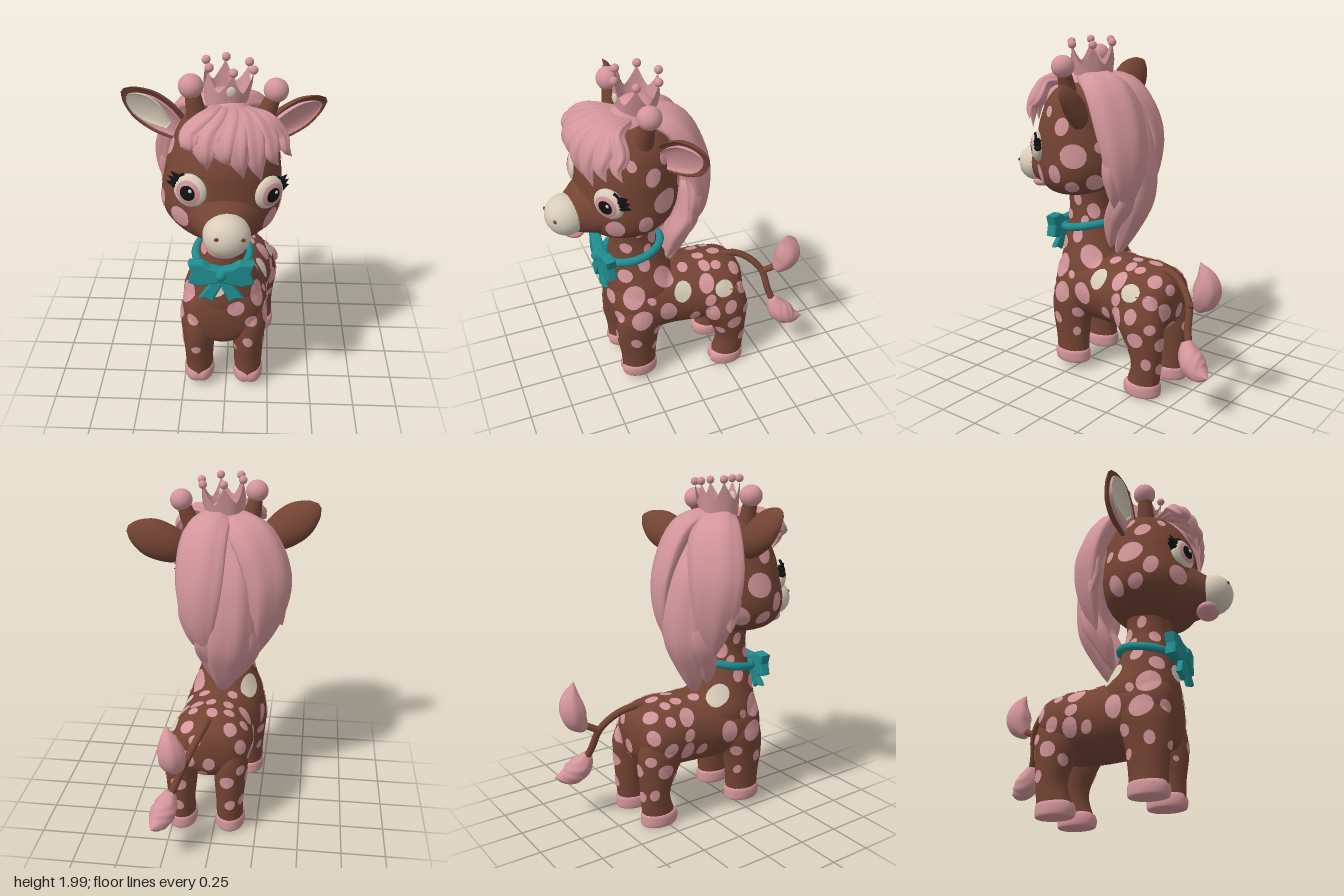
import * as THREE from 'three';

const V = (p) => new THREE.Vector3(...p);
const paint = (name, color, side = THREE.FrontSide) => {
  const m = new THREE.MeshStandardMaterial({ color, side });
  m.name = name;
  return m;
};
const brown = paint('brown coat', 0x744434);
const pink = paint('pink', 0xd2959a, THREE.DoubleSide);
const cream = paint('cream', 0xd8ccb9, THREE.DoubleSide);
const teal = paint('teal ribbon', 0x1f8c8f, THREE.DoubleSide);
const black = paint('black', 0x121212);

function add(parent, name, geo, mat, pos = [0, 0, 0], rot = [0, 0, 0], scale = [1, 1, 1]) {
  const m = new THREE.Mesh(geo, mat);
  m.name = name;
  m.position.set(...pos);
  m.rotation.set(...rot);
  m.scale.set(...scale);
  parent.add(m);
  return m;
}
const ball = (parent, name, mat, pos, scale) =>
  add(parent, name, new THREE.SphereGeometry(1, 24, 16), mat, pos, [0, 0, 0], scale);

// Closed smooth skin over a list of rings
function skin(rings) {
  const n = rings[0].length, last = rings.length - 1, pos = [], idx = [];
  rings.forEach((r) => r.forEach((p) => pos.push(p.x, p.y, p.z)));
  for (const r of [rings[0], rings[last]]) {
    const c = r.reduce((s, p) => s.add(p), new THREE.Vector3()).divideScalar(n);
    pos.push(c.x, c.y, c.z);
  }
  const c0 = n * (last + 1);
  for (let j = 0; j < n; j++) {
    const k = (j + 1) % n;
    for (let i = 0; i < last; i++) {
      const a = i * n + j, b = i * n + k;
      idx.push(a, a + n, b, b, a + n, b + n);
    }
    idx.push(c0, j, k, c0 + 1, last * n + k, last * n + j);
  }
  const g = new THREE.BufferGeometry();
  g.setAttribute('position', new THREE.Float32BufferAttribute(pos, 3));
  g.setIndex(idx);
  g.computeVertexNormals();
  return g;
}

// Sections [x, y, z, halfWidth, halfDepth] stacked along y, or along z
function loft(sections, axis = 'y', n = 24) {
  const path = new THREE.CatmullRomCurve3(sections.map((s) => V(s.slice(0, 3))), false, 'catmullrom');
  const size = new THREE.CatmullRomCurve3(sections.map((s) => V([s[3], s[4], 0])), false, 'catmullrom');
  const steps = (sections.length - 1) * 4, rings = [];
  for (let i = 0; i <= steps; i++) {
    const p = path.getPoint(i / steps), r = size.getPoint(i / steps);
    rings.push(Array.from({ length: n }, (_, j) => {
      const t = (j / n) * Math.PI * 2, c = r.x * Math.cos(t), s = r.y * Math.sin(t);
      return axis === 'y' ? V([p.x + c, p.y, p.z + s]) : V([p.x + c, p.y - s, p.z]);
    }));
  }
  return skin(rings);
}

// Tapered lock of hair along a path, its broad side facing away from a centre; lower taper means fuller ends
function lock(points, width, thick, centre, groove = 0.1, taper = 1) {
  const path = new THREE.CatmullRomCurve3(points.map(V)), rings = [], steps = 22, n = 24;
  for (let i = 0; i <= steps; i++) {
    const t = i / steps, p = path.getPoint(t), T = path.getTangent(t);
    const N = p.clone().sub(V(centre));
    N.addScaledVector(T, -N.dot(T)).normalize();
    const W = T.clone().cross(N), f = Math.max(0.02, Math.sin(Math.PI * (0.13 + 0.87 * t))) ** taper;
    rings.push(Array.from({ length: n }, (_, j) => {
      const a = (j / n) * Math.PI * 2, g = f * (1 + groove * Math.cos(6 * a + 2 * t));
      return p.clone().addScaledVector(W, width * g * Math.cos(a)).addScaledVector(N, thick * g * Math.sin(a));
    }));
  }
  return skin(rings);
}

// Thin round patches laid onto a coat; list holds [u, v, radius] as seen from one side
const sides = {
  left: (u, v) => [[3, v, u], [-1, 0, 0]],
  right: (u, v) => [[-3, v, u], [1, 0, 0]],
  front: (u, v) => [[u, v, 3], [0, 0, -1]],
  back: (u, v) => [[u, v, -3], [0, 0, 1]],
  top: (u, v) => [[u, 3, v], [0, -1, 0]],
};
function spots(parent, name, coat, side, list, mat = pink) {
  const ray = new THREE.Raycaster(), pos = [], idx = [], n = 16, rows = 3;
  const cast = (o, d) => {
    ray.set(o, d);
    return ray.intersectObjects(coat.meshes, false)[0];
  };
  list.forEach(([u, v, r], k) => {
    const [o, d] = sides[side](u, v), mid = cast(V(o), V(d));
    if (!mid || coat.placed.some((s) => s.p.distanceTo(mid.point) < (s.r + r) * 0.98)) return;
    coat.placed.push({ p: mid.point, r });
    const N = mid.face.normal, In = N.clone().negate(), base = pos.length / 3, hits = [];
    const A = new THREE.Vector3(0, 1, 0.2).cross(N).normalize(), B = N.clone().cross(A);
    const drop = (a, b) => {
      const h = cast(mid.point.clone().addScaledVector(N, 0.12).addScaledVector(A, a).addScaledVector(B, b), In);
      const p = h ? h.point.clone().addScaledVector(h.face.normal, 0.005) : mid.point;
      hits.push(h ? h.distance : Infinity);
      pos.push(p.x, p.y, p.z);
    };
    drop(0, 0);
    for (let i = 1; i <= rows; i++) for (let j = 0; j < n; j++) {
      const a = (j / n) * Math.PI * 2, q = (r * i / rows) * (1 + 0.1 * Math.sin(2 * a + k * 1.7));
      drop(q * Math.cos(a), q * 1.1 * Math.sin(a));
    }
    const tri = (...t) => {
      const h = t.map((i) => hits[i]);
      if (Math.max(...h) - Math.min(...h) < 0.05) idx.push(...t.map((i) => base + i));
    };
    for (let j = 0; j < n; j++) {
      const m = (j + 1) % n;
      tri(0, 1 + j, 1 + m);
      for (let i = 0; i < rows - 1; i++) {
        const a = 1 + i * n + j, b = 1 + i * n + m;
        tri(a, a + n, b);
        tri(b, a + n, b + n);
      }
    }
  });
  const g = new THREE.BufferGeometry();
  g.setAttribute('position', new THREE.Float32BufferAttribute(pos, 3));
  g.setIndex(idx);
  g.computeVertexNormals();
  add(parent, name, g, mat);
}

function makeBody(root) {
  const coat = { meshes: [], placed: [] };
  coat.meshes.push(add(root, 'torso', loft([[.03, .55, -.41, .04, .04], [.03, .54, -.39, .13, .12], [.03, .53, -.33, .205, .175],
    [.03, .525, -.22, .24, .205], [.02, .52, -.08, .23, .212], [0, .525, .06, .232, .217], [-.01, .53, .2, .245, .22],
    [-.02, .53, .32, .225, .21], [-.02, .535, .395, .16, .17], [-.02, .55, .425, .05, .05]], 'z', 28), brown));
  coat.meshes.push(add(root, 'neck', loft([[-.02, .45, .2, .19, .19], [-.02, .62, .2, .225, .225], [-.02, .75, .22, .185, .19],
    [-.02, .88, .24, .14, .15], [-.015, 1, .25, .115, .13], [-.015, 1.16, .26, .125, .135]]), brown));
  // Legs with cloven hooves
  const front = [[.09, .28, .08, .103], [.2, .28, .083, .11], [.34, .28, .094, .13], [.48, .255, .105, .145], [.62, .24, .07, .09]];
  const hind = [[.05, -.28, .08, .103], [.19, -.305, .08, .09], [.32, -.285, .092, .118], [.46, -.25, .1, .155], [.6, -.25, .06, .1]];
  for (const [name, x, y0, shape] of [['front', .13, .04, front], ['front', -.16, .04, front], ['hind', .195, 0, hind], ['hind', -.09, 0, hind]]) {
    coat.meshes.push(add(root, name + 'Leg', loft(shape.map(([y, z, a, b]) => [x, y, z, a, b]), 'y', 20), brown));
    const hoof = loft([[0, 0, 0, .07, .095], [0, .01, 0, .085, .112], [0, .045, .003, .089, .116], [0, .078, 0, .084, .108], [0, .09, 0, .06, .08]]);
    const p = hoof.attributes.position;
    for (let i = 0; i < p.count; i++) {
      if (p.getZ(i) > .03) p.setZ(i, p.getZ(i) - .013 * Math.exp(-((p.getX(i) / .022) ** 2)));
    }
    hoof.computeVertexNormals();
    add(root, name + 'Hoof', hoof, pink, [x, y0, shape[0][1]]);
  }
  // Coat spots
  const flank = [[.31, .65, .065], [.34, .775, .042], [.12, .73, .065], [.23, .84, .038], [.28, .505, .06], [.39, .51, .035], [.12, .53, .055],
    [-.13, .65, .05], [-.33, .67, .04], [-.35, .57, .04], [-.15, .46, .048], [-.26, .49, .04], [-.29, .36, .044], [-.21, .3, .03],
    [-.35, .22, .03], [-.14, .555, .034], [.18, .39, .034], [.32, .33, .032], [.2, .26, .025], [-.02, .72, .032], [.32, .95, .032],
    [.16, .985, .04], [-.05, .45, .034], [-.37, .43, .03], [.215, .62, .024], [.25, 1.05, .03], [.2, .93, .024], [-.22, .71, .03]];
  for (const [s, patches] of [['left', [[.02, .63, .055], [-.23, .61, .052]]], ['right', [[.09, .735, .065]]]]) {
    spots(root, s + 'CreamSpots', coat, s, patches, cream);
    spots(root, s + 'FlankSpots', coat, s, flank);
  }
  spots(root, 'chestPatch', coat, 'front', [[-.04, .745, .05]], cream);
  spots(root, 'chestSpots', coat, 'front', [[-.17, .61, .045], [.06, .61, .045], [.17, .51, .055], [-.24, .5, .055], [-.17, .3, .025],
    [.06, .3, .015], [.13, .37, .028], [.17, .7, .035], [-.2, .7, .035], [.05, .95, .025]]);
  spots(root, 'backSpots', coat, 'top', [[-.16, -.15, .04], [-.13, -.33, .035], [-.04, -.33, .03], [.02, -.25, .035], [.12, -.25, .035],
    [.14, -.33, .03], [-.07, -.25, .03], [.12, -.15, .035], [-.06, -.14, .032], [-.16, -.24, .03], [.04, -.14, .03]]);
  spots(root, 'rumpSpots', coat, 'back', [[-.1, .55, .045], [.1, .62, .032], [.15, .5, .05], [.02, .48, .038], [-.08, .36, .038],
    [.2, .33, .04], [.2, .18, .03], [-.1, .2, .03], [.06, .4, .028]]);
}

function makeTail(root) {
  const tube = (name, pts, r) => add(root, name, new THREE.TubeGeometry(new THREE.CatmullRomCurve3(pts.map(V)), 24, r, 10), brown);
  tube('tail', [[.03, .7, -.28], [.05, .7, -.38], [.085, .655, -.47], [.13, .57, -.54], [.18, .45, -.565], [.22, .35, -.6]], .021);
  tube('tailBranch', [[.13, .57, -.54], [.15, .595, -.59], [.17, .62, -.64]], .02);
  add(root, 'upperTailTuft', lock([[.165, .585, -.62], [.175, .67, -.67], [.19, .77, -.68], [.21, .865, -.65]], .075, .075, [0, .7, -.3], .04), pink);
  add(root, 'lowerTailTuft', lock([[.21, .4, -.575], [.235, .32, -.62], [.265, .27, -.69], [.29, .265, -.76]], .07, .07, [0, .5, -.4], .04), pink);
}

function makeBow(root) {
  const ring = Array.from({ length: 16 }, (_, i) => {
    const a = (i / 16) * Math.PI * 2;
    return V([-.02 + .15 * Math.cos(a), .885 - .035 * Math.sin(a), .25 + .165 * Math.sin(a)]);
  });
  add(root, 'neckRibbon', new THREE.TubeGeometry(new THREE.CatmullRomCurve3(ring, true), 48, .024, 8, true), teal);
  const cut = (pts, depth) => new THREE.ExtrudeGeometry(new THREE.Shape(pts.map((p) => new THREE.Vector2(...p))),
    { depth, bevelSize: .01, bevelThickness: .014, bevelSegments: 2 });
  const wing = [[0, .03], [.06, .04], [.1, .065], [.165, .06], [.15, .01], [.165, -.05], [.11, -.065], [.07, -.05], [0, -.03]];
  const tail = [[0, .01], [.05, -.05], [.11, -.13], [.075, -.13], [.05, -.15], [.015, -.08], [-.015, 0]];
  const flip = (pts, s) => pts.map(([x, y]) => [x * s, y]);
  for (const s of [1, -1]) {
    add(root, 'bowLoop', cut(flip(wing, s), .035), teal, [-.02, .86, .43], [0, s * .12, 0]);
    add(root, 'bowTail', cut(flip(tail, s), .006), teal, [-.02, .85, .44], [-.08, 0, 0]);
  }
  ball(root, 'bowKnot', teal, [-.02, .865, .455], [.035, .038, .042]);
}

function makeHead(root) {
  const head = new THREE.Group();
  head.name = 'head';
  const skull = add(head, 'skull', loft([[0, -.31, .07, .05, .05], [0, -.285, .06, .18, .17], [0, -.215, .025, .282, .25], [0, -.12, .01, .318, .28],
    [0, 0, 0, .31, .28], [0, .12, 0, .29, .268], [0, .25, -.02, .25, .235], [0, .34, -.03, .175, .165], [0, .385, -.03, .05, .05]], 'y', 32), brown);
  const snout = add(head, 'snout', loft([[0, -.12, .1, .24, .18], [-.005, -.135, .23, .19, .15], [-.012, -.155, .31, .132, .122], [-.015, -.165, .37, .095, .088]], 'z'), brown);
  const coat = { meshes: [skull, snout], placed: [] };
  spots(head, 'blush', coat, 'front', [[.235, -.155, .055], [-.235, -.155, .055]]);
  for (const s of ['left', 'right']) {
    spots(head, s + 'CheekSpots', coat, s, [[0, .15, .045], [-.07, -.01, .07], [-.16, -.18, .055], [.05, -.12, .045], [-.04, -.2, .042],
      [-.2, .03, .035], [.1, .22, .028], [-.08, .23, .032]]);
  }
  // Muzzle
  ball(head, 'noseCap', cream, [-.015, -.165, .36], [.122, .113, .115]);
  ball(head, 'lowerLip', pink, [-.015, -.272, .325], [.085, .038, .065]);
  for (const s of [1, -1]) {
    ball(head, 'nostril', brown, [s * .065 - .015, -.138, .452], [.014, .01, .008]);
    // Eye made of nested bands of one dome
    const eye = new THREE.Group();
    eye.name = 'eye';
    eye.position.set(s * .2 + .005, .005, .212);
    eye.rotation.set(0, s * .52, 0);
    head.add(eye);
    const bands = [['pupil', 0, .47, black], ['iris', .47, .8, pink], ['eyeWhite', .8, Math.PI, cream]];
    for (const [name, a, b, mat] of bands) {
      add(eye, name, new THREE.SphereGeometry(.09, 28, 10, 0, Math.PI * 2, a, b - a).rotateX(Math.PI / 2), mat, [0, 0, 0], [0, 0, 0], [1, 1, .48]);
    }
    ball(eye, 'eyeGlint', cream, [.014, .016, .042], [.01, .01, .005]);
    add(eye, 'eyelid', new THREE.TorusGeometry(.091, .008, 6, 20, 1.2), black, [0, 0, .008], [0, 0, s > 0 ? 0 : Math.PI - 1.2]);
    for (const a of [.12, .36, .6]) {
      const dx = s * Math.cos(a), dy = Math.sin(a);
      add(eye, 'eyelash', new THREE.ConeGeometry(.023, .062, 8), black, [dx * .108, dy * .108, 0], [0, 0, Math.atan2(-dx, dy)]);
    }
    // Cupped ear, its opening turned a little downward
    const shell = loft([[0, -.04, 0, .04, .04], [0, .04, 0, .07, .06], [0, .15, 0, .105, .08], [0, .27, 0, .107, .068], [0, .365, 0, .065, .035], [0, .41, 0, .016, .01]]);
    const p = shell.attributes.position;
    for (let i = 0; i < p.count; i++) if (p.getZ(i) > 0) p.setZ(i, p.getZ(i) * -.35);
    shell.computeVertexNormals();
    const ear = new THREE.Group();
    ear.name = 'ear';
    ear.position.set(s * .195, .175, -.07);
    ear.rotation.set(0, s * .2, -s * 1.03);
    head.add(ear);
    add(ear, 'innerEar', shell.clone().scale(.75, .83, .85).translate(0, .035, .008).rotateY(s * .3), pink);
    if (s < 0) add(ear, 'innerEarPatch', shell.clone().scale(.66, .58, .8).translate(0, .138, .016).rotateY(s * .3), cream);
    add(ear, 'earShell', shell.rotateY(s * .3), brown);
    // Horn with round tip
    add(head, 'horn', new THREE.CylinderGeometry(.036, .06, .22, 16), brown, [s * .185 + .008, .36, 0], [0, 0, -s * .27]);
    ball(head, 'hornTip', pink, [s * .217 + .008, .475, 0], [.064, .062, .064]);
  }
  // Fringe
  ball(head, 'hairCap', pink, [0, .2, -.02], [.17, .225, .265]);
  for (const [x, y, w] of [[-.21, .22, .06], [-.14, .15, .075], [-.04, .18, .08], [.03, .12, .07], [.12, .1, .07], [.2, .17, .065], [.27, .2, .045]]) {
    const z = .275 * Math.sqrt(1 - (x / .35) ** 2);
    add(head, 'fringeLock', lock([[x * .25, .38, .02], [x * .6, .375, .15], [x * .95 - .02, .3, z * .95], [x - .01, (y + .3) / 2, z + .025], [x * 1.05 + .02, y, z + .015]],
      w, .036, [0, .1, 0], .14), pink);
  }
  // Crown
  const band = new THREE.CylinderGeometry(.122, .105, .1, 48, 1, true);
  const p = band.attributes.position;
  for (let i = 0; i < p.count; i++) {
    if (p.getY(i) < 0) continue;
    const f = ((Math.atan2(p.getX(i), p.getZ(i)) / (Math.PI / 3)) + 6.0001) % 1, h = Math.abs(2 * f - 1) ** 1.4;
    p.setXYZ(i, p.getX(i) * (1 + .06 * h), p.getY(i) + .1 * h, p.getZ(i) * (1 + .06 * h));
  }
  band.computeVertexNormals();
  add(head, 'crownBand', band, pink, [-.015, .41, -.06]);
  ball(head, 'crownFilling', pink, [-.015, .39, -.06], [.108, .06, .108]);
  for (let k = 0; k < 6; k++) {
    const a = k * Math.PI / 3;
    ball(head, 'crownBead', pink, [-.015 + .129 * Math.sin(a), .575, -.06 + .129 * Math.cos(a)], [.023, .023, .023]);
  }
  ball(head, 'crownGem', cream, [-.015, .475, .064], [.024, .028, .01]);
  head.position.set(-.015, 1.38, .27);
  head.rotation.set(0, .18, -.1);
  root.add(head);
}

function makeMane(root) {
  const locks = [
    [[[0, 1.76, .22], [-.16, 1.69, .06], [-.27, 1.46, -.01], [-.265, 1.22, -.02], [-.22, 1.0, .01]], .15, .072],
    [[[.03, 1.77, .22], [.09, 1.7, .04], [.115, 1.46, -.08], [.11, 1.22, -.11], [.06, 1.0, -.08]], .15, .075],
    [[[-.04, 1.7, .08], [-.06, 1.42, -.05], [-.05, 1.1, -.08], [-.03, .9, -.02], [0, .7, .05]], .14, .085],
    [[[-.22, 1.5, .02], [-.31, 1.38, .02], [-.32, 1.28, .03], [-.35, 1.17, .03]], .08, .045],
    [[[.12, 1.5, -.04], [.17, 1.3, -.07], [.16, 1.18, -.07], [.15, 1.05, -.05]], .075, .045],
    [[[-.12, 1.3, -.06], [-.14, 1.1, -.05], [-.13, .95, .02], [-.1, .8, .06]], .09, .065],
    [[[.05, 1.3, -.06], [.07, 1.1, -.06], [.055, .95, .01], [.04, .77, .06]], .085, .07],
  ];
  for (const [pts, w, t] of locks) add(root, 'maneLock', lock(pts, w, t, [-.03, 1.35, .25], .06, .75), pink);
}

export function createModel() {
  const root = new THREE.Group();
  root.name = 'spottedGiraffe';
  makeBody(root);
  makeTail(root);
  makeBow(root);
  makeHead(root);
  makeMane(root);
  return root;
}
